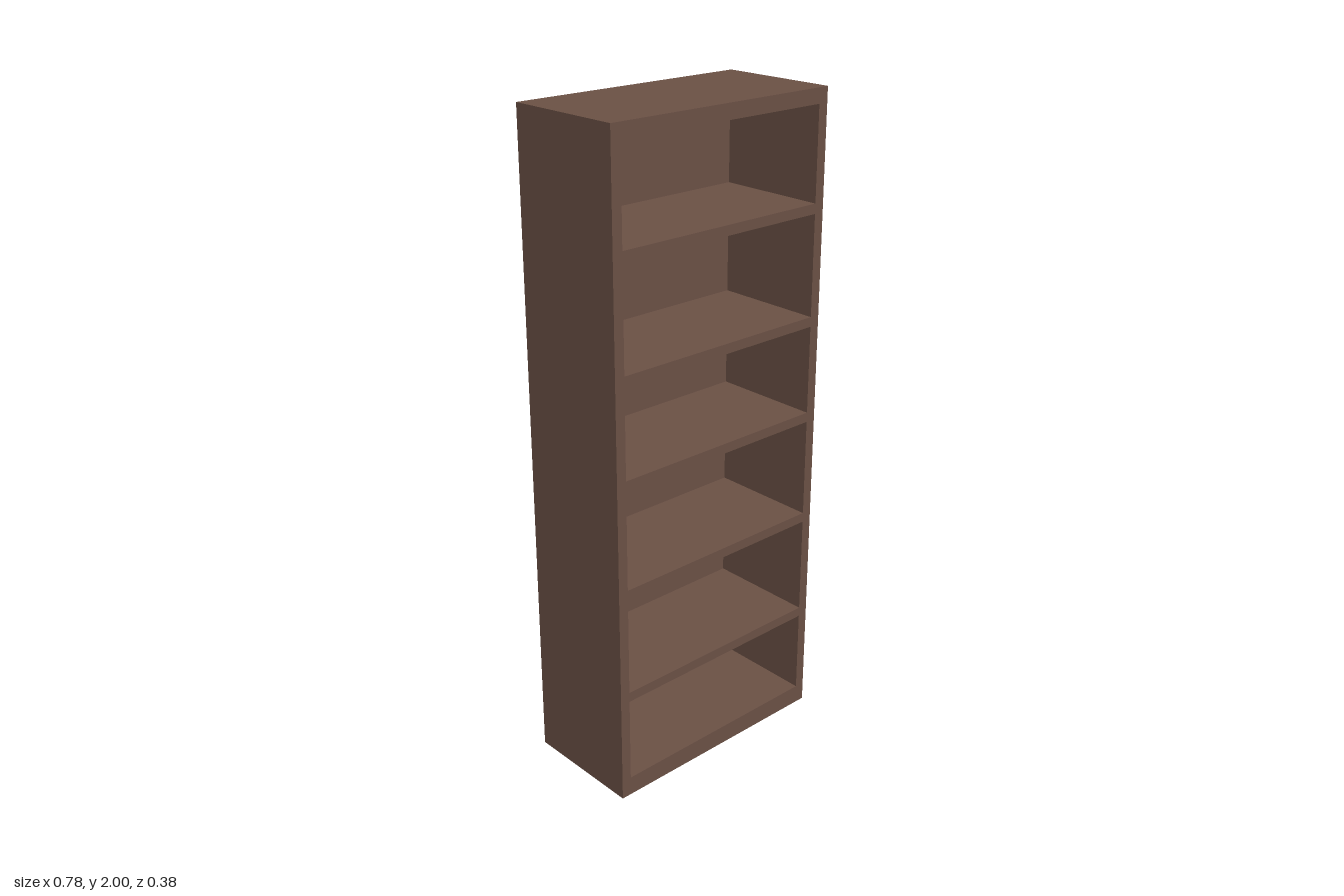
import * as THREE from 'three';

const WIDTH = 0.78, HEIGHT = 2, DEPTH = 0.38;
const SIDE = 0.032, BACK = 0.03;

// bottom and top height of every horizontal board: plinth, shelves, top
const BOARDS = [
  ['plinth', 0, 0.06],
  ['shelf1', 0.328, 0.358],
  ['shelf2', 0.667, 0.697],
  ['shelf3', 1.005, 1.035],
  ['shelf4', 1.308, 1.338],
  ['shelf5', 1.646, 1.676],
  ['topBoard', 1.955, HEIGHT],
];

export function createModel() {
  const bookcase = new THREE.Group();
  bookcase.name = 'bookcase';
  const wood = new THREE.MeshStandardMaterial({ color: 0x6b5145 });
  wood.name = 'brown wood';

  const board = (name, w, h, d, x, y, z) => {
    const mesh = new THREE.Mesh(new THREE.BoxGeometry(w, h, d), wood);
    mesh.name = name;
    mesh.position.set(x, y, z);
    bookcase.add(mesh);
  };

  // full-height side panels
  for (const [name, s] of [['leftSide', 1], ['rightSide', -1]]) {
    board(name, SIDE, HEIGHT, DEPTH, s * (WIDTH - SIDE) / 2, HEIGHT / 2, 0);
  }

  // back panel between the sides
  const inner = WIDTH - 2 * SIDE;
  board('backPanel', inner, HEIGHT, BACK, 0, HEIGHT / 2, (BACK - DEPTH) / 2);

  // plinth, shelves and top, flush with the front
  for (const [name, low, high] of BOARDS) {
    board(name, inner, high - low, DEPTH - BACK, 0, (low + high) / 2, BACK / 2);
  }
  return bookcase;
}
